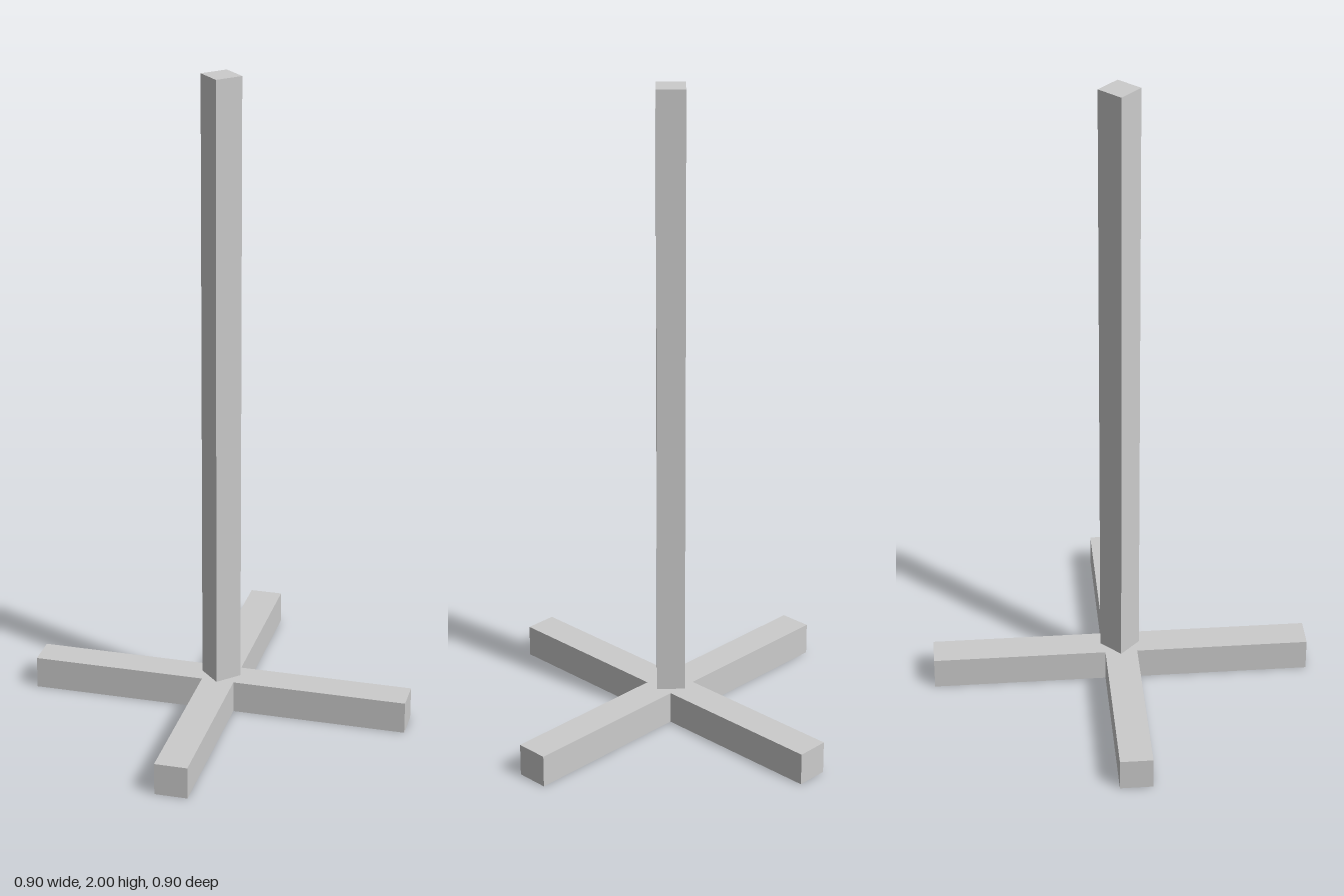
import * as THREE from 'three';

const HALF_LENGTH = 0.587; // centre to the end of each foot
const HALF_WIDTH = 0.05;
const BASE_HEIGHT = 0.1;
const POST_WIDTH = 0.086;
const TOTAL_HEIGHT = 2;

export function createModel() {
  const group = new THREE.Group();
  const material = new THREE.MeshStandardMaterial({ color: 0xcccccc, flatShading: true });

  // Diagonal cross base: one arm's three corners repeated at each quarter turn
  const outline = [];
  for (let i = 0; i < 4; i++) {
    const turn = Math.PI / 4 + (i * Math.PI) / 2;
    for (const [x, y] of [[HALF_LENGTH, -HALF_WIDTH], [HALF_LENGTH, HALF_WIDTH], [HALF_WIDTH, HALF_WIDTH]]) {
      outline.push(new THREE.Vector2(x, y).rotateAround(new THREE.Vector2(), turn));
    }
  }
  const baseGeometry = new THREE.ExtrudeGeometry(new THREE.Shape(outline), {
    depth: BASE_HEIGHT,
    bevelEnabled: false,
  });
  baseGeometry.rotateX(-Math.PI / 2);
  const base = new THREE.Mesh(baseGeometry, material);
  base.name = 'crossBase';
  group.add(base);

  // Square upright post standing on the base
  const postHeight = TOTAL_HEIGHT - BASE_HEIGHT;
  const post = new THREE.Mesh(new THREE.BoxGeometry(POST_WIDTH, postHeight, POST_WIDTH), material);
  post.name = 'post';
  post.position.set(0, BASE_HEIGHT + postHeight / 2, -0.002);
  group.add(post);

  return group;
}
